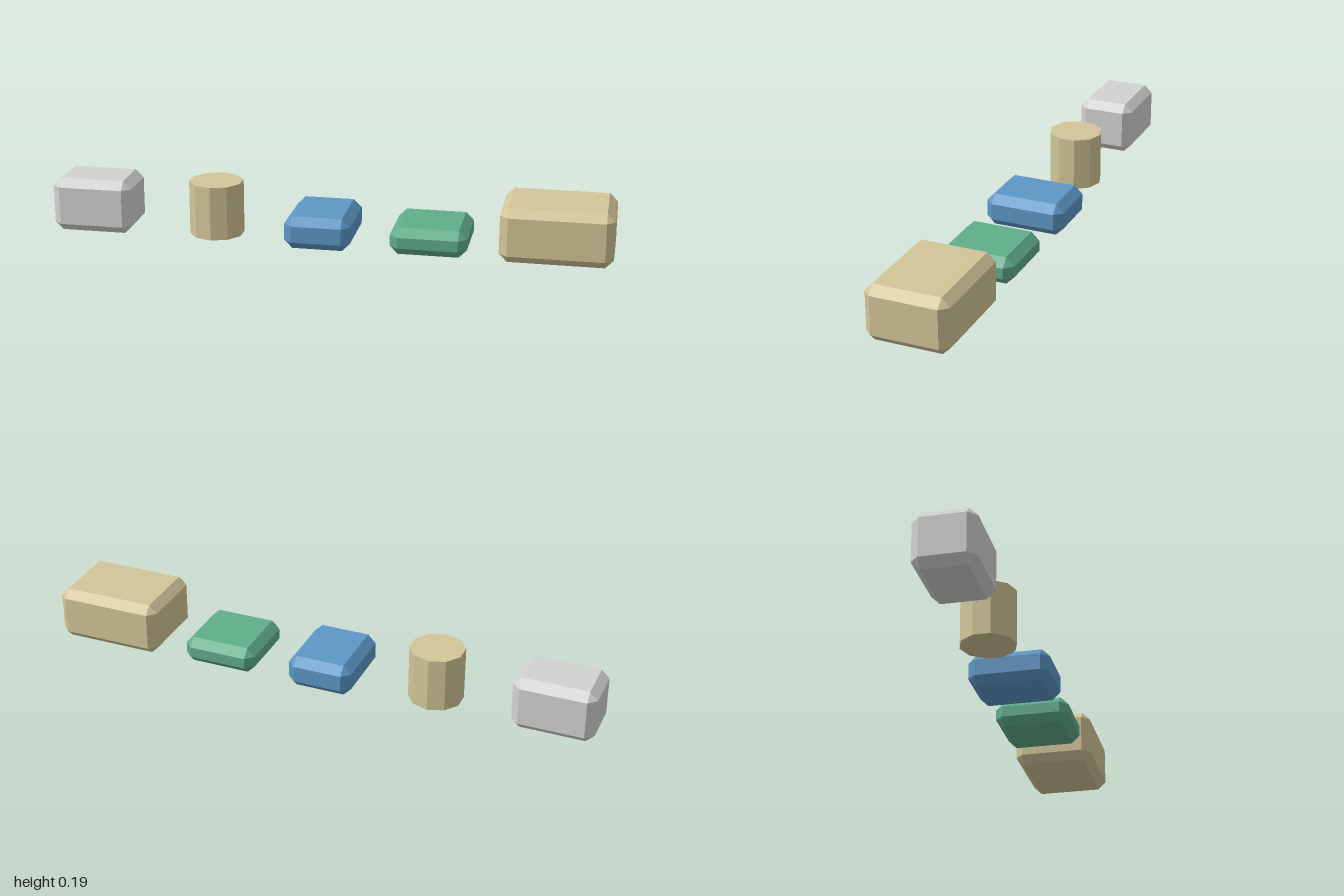
import * as THREE from 'three';
import { ConvexGeometry } from 'three/addons/geometries/ConvexGeometry.js';

const BEVEL = 0.029;

// Box standing on y = 0 with every edge and corner cut flat
function bevelledBox(w, h, d) {
  const points = [];
  for (const sx of [-1, 1]) for (const sy of [-1, 1]) for (const sz of [-1, 1]) {
    for (let axis = 0; axis < 3; axis++) {
      const half = [w / 2, h / 2, d / 2].map((v, i) => (i === axis ? v : v - BEVEL));
      points.push(new THREE.Vector3(sx * half[0], sy * half[1], sz * half[2]));
    }
  }
  return new ConvexGeometry(points).translate(0, h / 2, 0);
}

function material(name, color) {
  const m = new THREE.MeshStandardMaterial({ color, flatShading: true });
  m.name = name;
  return m;
}

export function createModel() {
  const group = new THREE.Group();
  const grey = material('light grey', 0xd2d2d2);
  const tan = material('sand', 0xd2c598);
  const blue = material('blue', 0x5c97c6);
  const green = material('green', 0x5fad8b);

  const add = (name, geometry, mat, x) => {
    const mesh = new THREE.Mesh(geometry, mat);
    mesh.name = name;
    mesh.position.x = x;
    group.add(mesh);
  };

  // Row of separate blocks, from the model's right to its left
  add('greyBlock', bevelledBox(0.29, 0.195, 0.21), grey, -0.855);
  add('sandCylinder', new THREE.CylinderGeometry(0.0975, 0.0975, 0.195, 10).translate(0, 0.0975, 0), tan, -0.415);
  add('blueBlock', bevelledBox(0.235, 0.117, 0.292), blue, -0.025);
  add('greenBlock', bevelledBox(0.27, 0.097, 0.272), green, 0.365);
  add('sandBlock', bevelledBox(0.39, 0.195, 0.292), tan, 0.805);

  return group;
}
